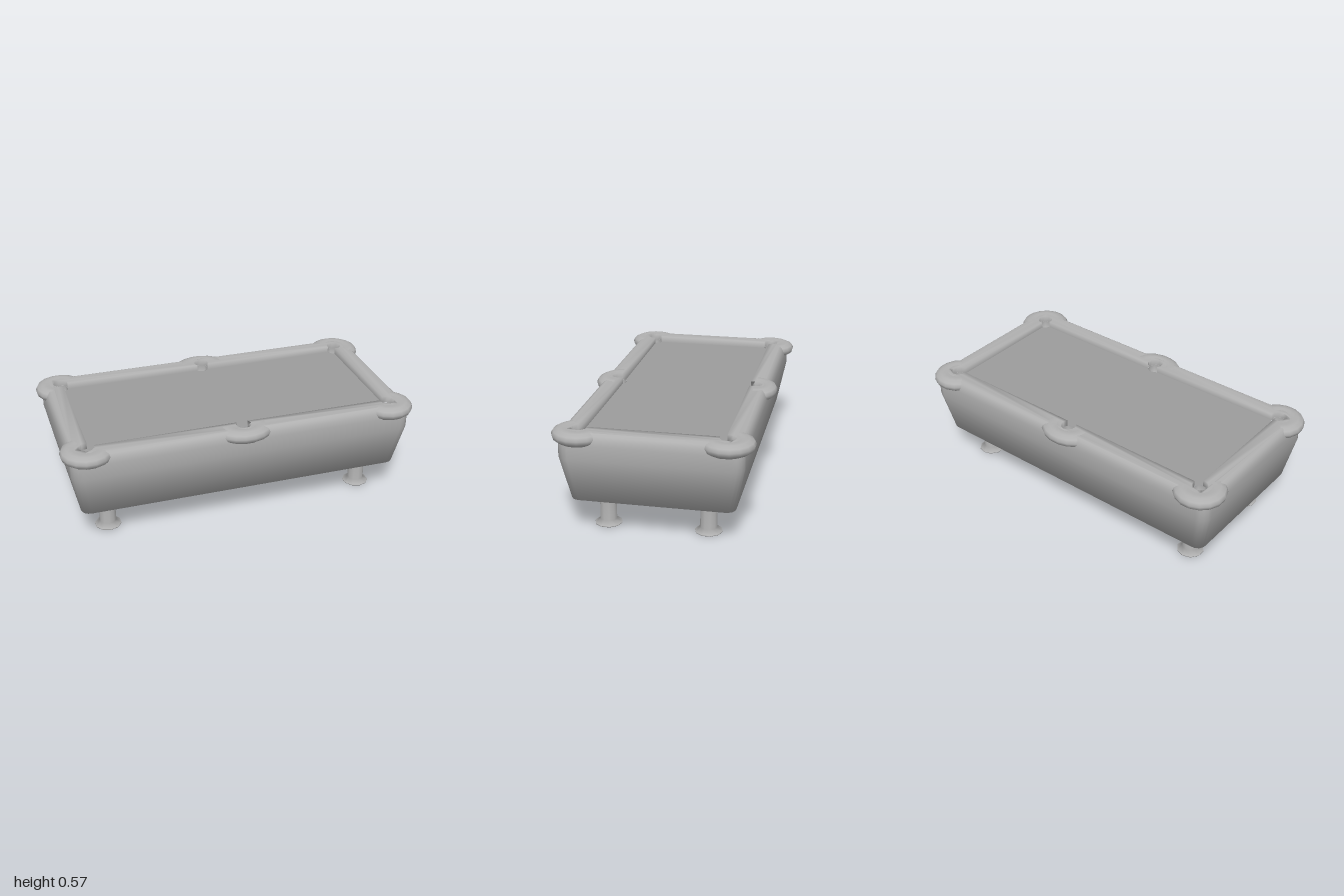
import * as THREE from 'three';
import { mergeGeometries, mergeVertices } from 'three/addons/utils/BufferGeometryUtils.js';

const paint = new THREE.MeshStandardMaterial({ color: 0xb0b0b0 });
const paintDouble = new THREE.MeshStandardMaterial({ color: 0xb0b0b0, side: THREE.DoubleSide });
const cloth = new THREE.MeshStandardMaterial({ color: 0x9c9c9c });

const BASE = 0.188, BED = 0.535, TOP = 0.571, HOLE = 0.043;

// Pockets in counter-clockwise order
const pockets = [
  [0.857, 0.382], [0, 0.398], [-0.857, 0.382],
  [-0.857, -0.382], [0, -0.398], [0.857, -0.382],
].map(([x, z]) => ({ x, z, corner: x !== 0 }));

const add = (parent, name, geometry, material = paint) => {
  const mesh = new THREE.Mesh(geometry, material);
  mesh.name = name;
  parent.add(mesh);
  return mesh;
};

const vec = ([x, y]) => new THREE.Vector2(x, y);

// Rounded rectangle as a counter-clockwise list of points
function roundedRect(hx, hz, r, steps = 4) {
  const pts = [];
  [[1, 1], [-1, 1], [-1, -1], [1, -1]].forEach(([sx, sz], q) => {
    for (let i = 0; i <= steps; i++) {
      const a = (q + i / steps) * Math.PI / 2;
      pts.push(vec([sx * (hx - r) + r * Math.cos(a), sz * (hz - r) + r * Math.sin(a)]));
    }
  });
  return pts;
}

// Skin over a stack of closed outlines with equal point counts
function skin(loops) {
  const pos = [], idx = [];
  const n = loops[0].pts.length;
  for (const { pts, y } of loops) for (const p of pts) pos.push(p.x, y, -p.y);
  for (let l = 0; l < loops.length - 1; l++)
    for (let i = 0; i < n; i++) {
      const a = l * n + i, b = l * n + (i + 1) % n;
      idx.push(a, b, b + n, a, b + n, a + n);
    }
  const g = new THREE.BufferGeometry();
  g.setAttribute('position', new THREE.Float32BufferAttribute(pos, 3));
  g.setIndex(idx);
  return g;
}

// Flat, upward-facing sheet
const sheet = (shape, y) => new THREE.ShapeGeometry(shape, 8).rotateX(-Math.PI / 2).translate(0, y, 0);

// Inner outline of the rail, biting round each pocket
function railOpening() {
  const pts = [];
  for (const { x, z, corner } of pockets) {
    const mid = Math.atan2(Math.sign(z), Math.sign(x));
    const span = THREE.MathUtils.degToRad(corner ? 148 : 132);
    for (let i = 0; i <= 8; i++) {
      const a = mid + span * (i / 4 - 1);
      pts.push(vec([x + HOLE * Math.cos(a), z + HOLE * Math.sin(a)]));
    }
  }
  return pts;
}

// Underside, tapered sides, rounded shoulder, rail top and cushion faces as one smooth shell
function cabinet() {
  const sides = skin([
    [0.48, 0, BASE, 0],
    [0.91, 0.43, BASE, 0.05],
    [0.96, 0.48, 0.43, 0.06],
    [0.96, 0.48, 0.51, 0.06],
    [0.955, 0.475, 0.54, 0.06],
    [0.945, 0.465, 0.56, 0.055],
    [0.93, 0.45, TOP, 0.05],
  ].map(([hx, hz, y, r]) => ({ pts: roundedRect(hx, hz, r), y })));

  const opening = railOpening();
  const cushion = skin([{ pts: opening, y: TOP }, { pts: opening, y: BED }]);

  const railShape = new THREE.Shape(roundedRect(0.93, 0.45, 0.05));
  railShape.holes.push(new THREE.Path(opening));
  const rail = sheet(railShape, TOP);
  rail.deleteAttribute('normal');
  rail.deleteAttribute('uv');

  const shell = mergeVertices(mergeGeometries([sides, rail, cushion]));
  shell.computeVertexNormals();
  return shell;
}

export function createModel() {
  const table = new THREE.Group();
  table.name = 'poolTable';

  add(table, 'cabinet', cabinet());

  // Playing surface with pocket holes
  const bed = new THREE.Shape(roundedRect(0.92, 0.445, 0.05));
  for (const { x, z } of pockets) {
    const hole = new THREE.Path();
    hole.absarc(x, z, HOLE, 0, Math.PI * 2);
    bed.holes.push(hole);
  }
  add(table, 'playingSurface', sheet(bed, BED), cloth);

  // Pocket cups and the rounded guards bulging out of the rail
  const cup = [[0, 0.47], [HOLE, 0.47], [HOLE, BED]].map(vec);
  for (const { x, z, corner } of pockets) {
    const pocket = new THREE.Group();
    pocket.name = corner ? 'cornerPocket' : 'middlePocket';
    pocket.position.set(x, 0, z);
    table.add(pocket);
    add(pocket, 'pocketCup', new THREE.LatheGeometry(cup, 8), paintDouble);

    const R = corner ? 0.143 : 0.127;
    const profile = [
      [R - 0.06, 0.5], [R - 0.03, 0.503], [R - 0.007, 0.52], [R, 0.542],
      [R - 0.01, 0.56], [R - 0.035, 0.572], [R - 0.06, 0.574], [HOLE, 0.568],
    ].map(vec);
    const arc = THREE.MathUtils.degToRad(corner ? 200 : 180);
    const mid = Math.atan2(Math.sign(x), Math.sign(z));
    const guard = add(pocket, 'pocketGuard', new THREE.LatheGeometry(profile, 9, mid - arc / 2, arc), paintDouble);
    // middle guards are wider along the rail
    if (!corner) guard.scale.x = 1.27;
  }

  // Legs flaring into feet
  const legProfile = [[0, 0], [0.074, 0], [0.074, 0.004], [0.046, 0.025], [0.046, BASE + 0.01]].map(vec);
  for (const x of [-0.748, 0.748])
    for (const z of [-0.27, 0.27])
      add(table, 'leg', new THREE.LatheGeometry(legProfile, 10)).position.set(x, 0, z);

  return table;
}
